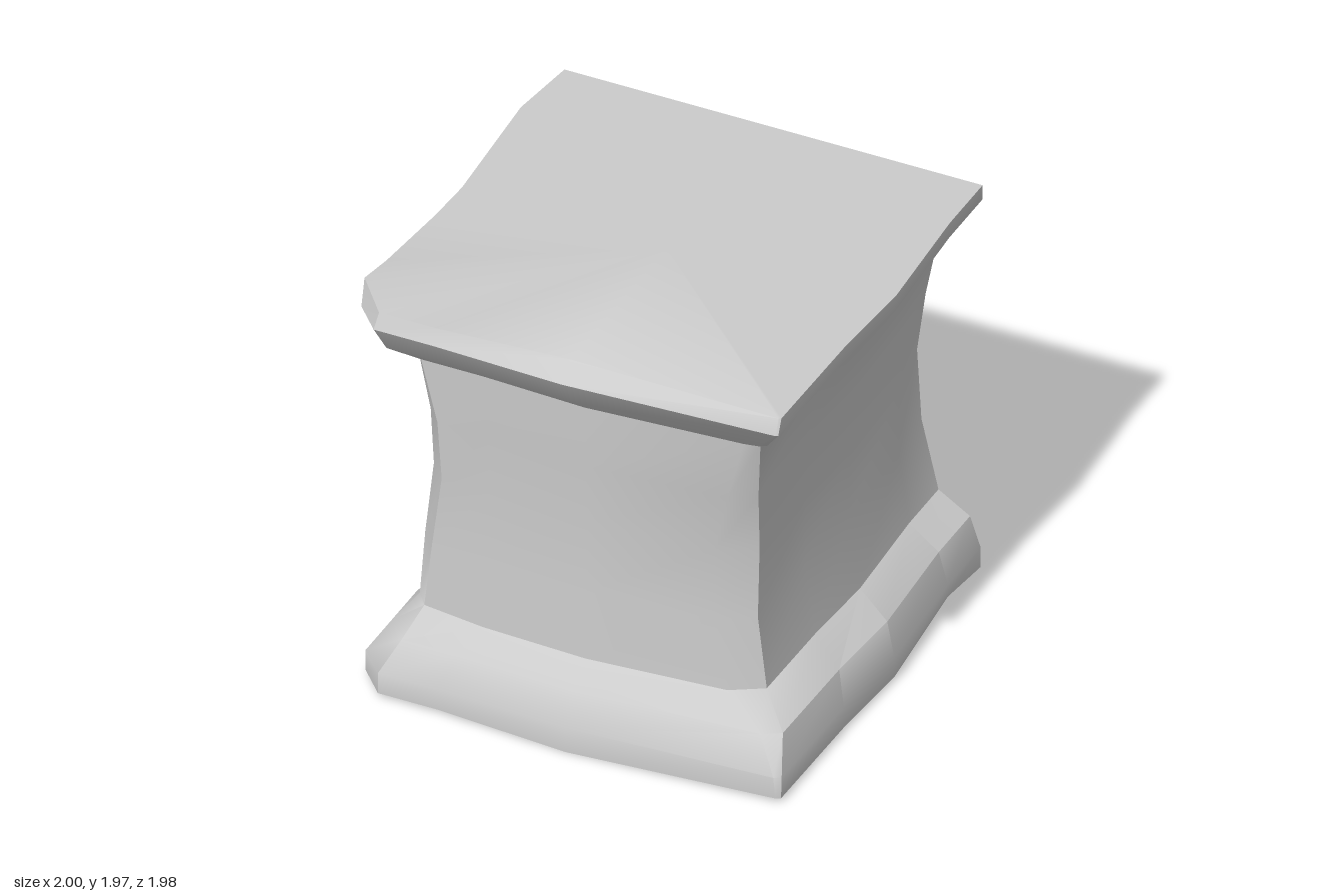
import * as THREE from 'three';
import { toCreasedNormals } from 'three/addons/utils/BufferGeometryUtils.js';

const BACK = -0.99;

// Moulding profile, bottom to top:
// y, reach to -x, reach to +x, front z, right-front chamfer, left-front chamfer, back pull-in
const LEVELS = [
  [0.02, 0.99, 0.99, 0.92, 0.02, 0.12, 0],
  [0.12, 0.99, 0.99, 0.92, 0.03, 0.12, 0],
  [0.26, 0.90, 0.94, 0.84, 0.08, 0.10, 0],
  [0.35, 0.80, 0.79, 0.73, 0.14, 0.05, 0],
  [0.68, 0.79, 0.74, 0.72, 0.15, 0.07, 0.03],
  [1.02, 0.76, 0.74, 0.71, 0.16, 0.08, 0.05],
  [1.31, 0.76, 0.76, 0.73, 0.11, 0.07, 0.03],
  [1.61, 0.79, 0.79, 0.74, 0.06, 0.03, 0],
  [1.71, 0.92, 0.89, 0.86, 0.03, 0.06, 0],
  [1.86, 0.99, 1.00, 0.96, 0.01, 0.12, 0],
  [1.93, 1.00, 1.00, 0.93, 0.01, 0.14, 0],
];

// Hand-cut waviness of the sides: [position from back 0 to front 1, width factor]
const LEFT = [[0, 0.955], [0.17, 0.995], [0.5, 0.955], [0.62, 0.965], [0.82, 1]];
const RIGHT = [[0.68, 0.975], [0.46, 1], [0.16, 0.965], [0, 0.965]];

// One outline: down the left side, across the front, back along the right side
function ring([y, xl, xr, zf, cr, cl, pull], i) {
  const depth = t => BACK + t * (zf - BACK);
  const inset = t => (t === 0 ? pull : 0);
  const top = i === LEVELS.length - 1;
  const pts = LEFT.map(([t, w]) => [-xl * w + inset(t), y, depth(t)]);
  pts.push([-xl, y + (top ? 0.04 : i === 3 ? 0.04 : 0), zf - cl]);
  pts.push([-xl + cl, y + (i === 3 ? 0.03 : 0), zf + 0.01]);
  pts.push([-0.6 * xl, y, zf + 0.01]);
  pts.push([0, y - (i === 0 ? 0.02 : 0), zf + (top ? -0.03 : 0.03)]);
  pts.push([xr * 0.97 - cr, y, zf - 0.02]);
  pts.push([xr * 0.97, y, zf - 0.02 - cr * 0.6]);
  RIGHT.forEach(([t, w], k) =>
    pts.push([xr * w - inset(t), y + (i === 0 && k === 2 ? 0.04 : 0), depth(t)]));
  return pts;
}

// Lofts closed outlines and caps both ends
function loft(rings) {
  const n = rings[0].length;
  const pos = rings.flat(2);
  const index = [];
  for (let i = 0; i < rings.length - 1; i++) {
    for (let j = 0; j < n; j++) {
      const k = (j + 1) % n;
      const a = i * n + j, b = i * n + k, c = b + n, d = a + n;
      index.push(a, b, c, a, c, d);
    }
  }
  const last = rings.length - 1;
  const bottom = rings.length * n, top = bottom + 1;
  pos.push(0, rings[0][0][1], 0, 0, rings[last][0][1], 0);
  for (let j = 0; j < n; j++) {
    const k = (j + 1) % n;
    index.push(bottom, k, j, top, last * n + j, last * n + k);
  }
  const geo = new THREE.BufferGeometry();
  geo.setAttribute('position', new THREE.Float32BufferAttribute(pos, 3));
  geo.setIndex(index);
  return toCreasedNormals(geo, 0.68);
}

export function createModel() {
  const group = new THREE.Group();
  group.name = 'pedestal';
  // Base, waisted shaft and cap are one block of stone with a flat back
  const block = new THREE.Mesh(
    loft(LEVELS.map(ring)),
    new THREE.MeshStandardMaterial({ color: 0xcccccc })
  );
  block.name = 'pedestalBlock';
  group.add(block);
  return group;
}
